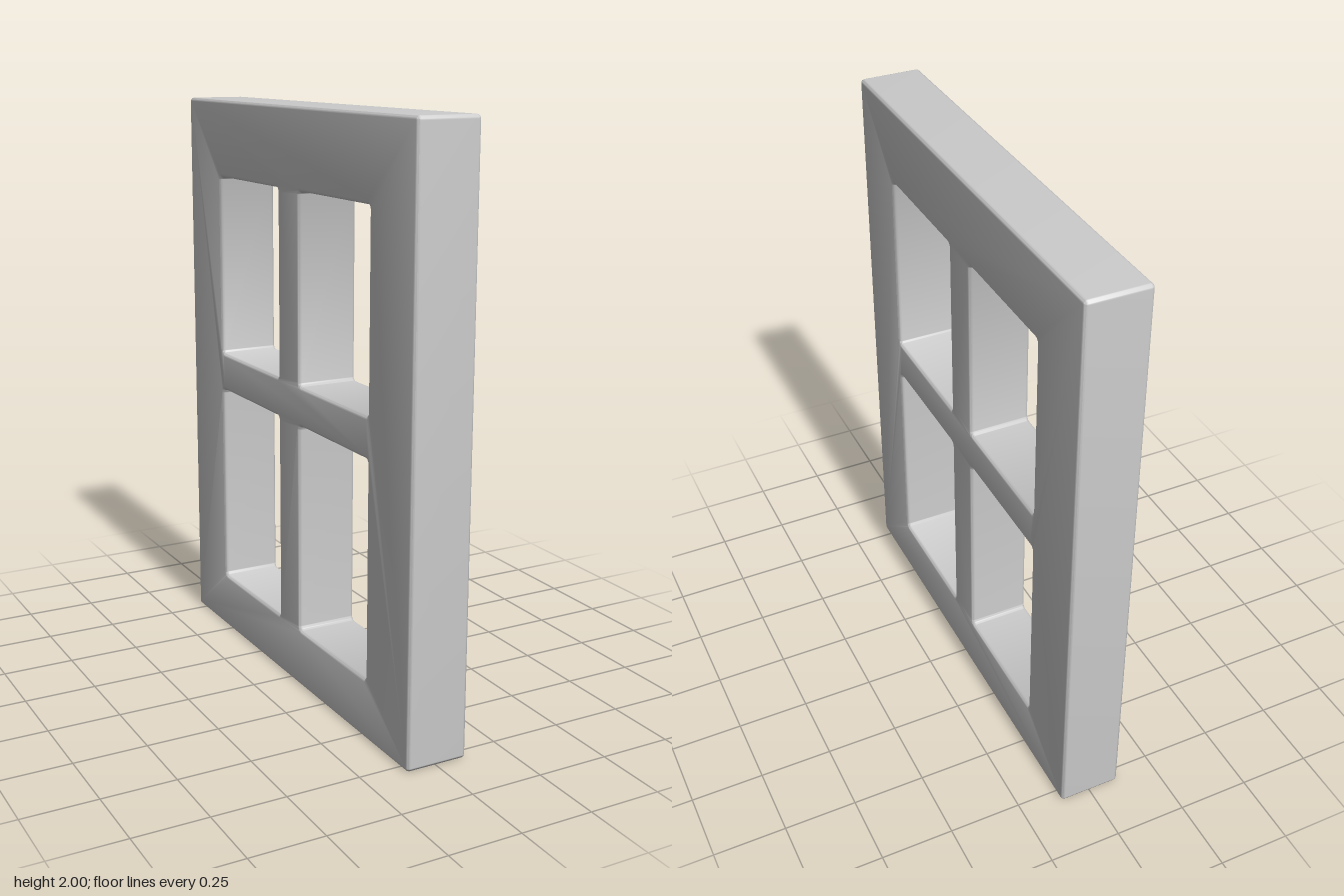
import * as THREE from 'three';
import { toCreasedNormals } from 'three/addons/utils/BufferGeometryUtils.js';

const THICKNESS = 0.215;
const BEVEL = 0.012;

// Rectangle with small rounded corners
function roundedRect(path, x0, y0, x1, y1, r) {
  path.absarc(x1 - r, y0 + r, r, -Math.PI / 2, 0);
  path.absarc(x1 - r, y1 - r, r, 0, Math.PI / 2);
  path.absarc(x0 + r, y1 - r, r, Math.PI / 2, Math.PI);
  path.absarc(x0 + r, y0 + r, r, Math.PI, Math.PI * 1.5);
  path.closePath();
  return path;
}

export function createModel() {
  const group = new THREE.Group();
  group.name = 'window';

  // Outer frame outline
  const outline = roundedRect(new THREE.Shape(), -0.8, 0, 0.8, 2, 0.014);

  // Four openings, leaving a cross of glazing bars
  for (const [x0, x1] of [[-0.535, -0.076], [0.076, 0.535]]) {
    for (const [y0, y1] of [[0.207, 0.942], [1.08, 1.728]]) {
      outline.holes.push(roundedRect(new THREE.Path(), x0, y0, x1, y1, 0.014));
    }
  }

  // Solid frame with softly rounded edges, turned so its faces look along x
  let geometry = new THREE.ExtrudeGeometry(outline, {
    depth: THICKNESS - 2 * BEVEL,
    curveSegments: 4,
    bevelEnabled: true,
    bevelThickness: BEVEL,
    bevelSize: BEVEL,
    bevelOffset: -BEVEL,
    bevelSegments: 3,
  });
  geometry.translate(0, 0, BEVEL - THICKNESS / 2);
  geometry.rotateY(Math.PI / 2);
  geometry = toCreasedNormals(geometry, 0.7);

  const frame = new THREE.Mesh(geometry, new THREE.MeshStandardMaterial({ color: 0xcccccc }));
  frame.name = 'windowFrame';
  group.add(frame);
  return group;
}
